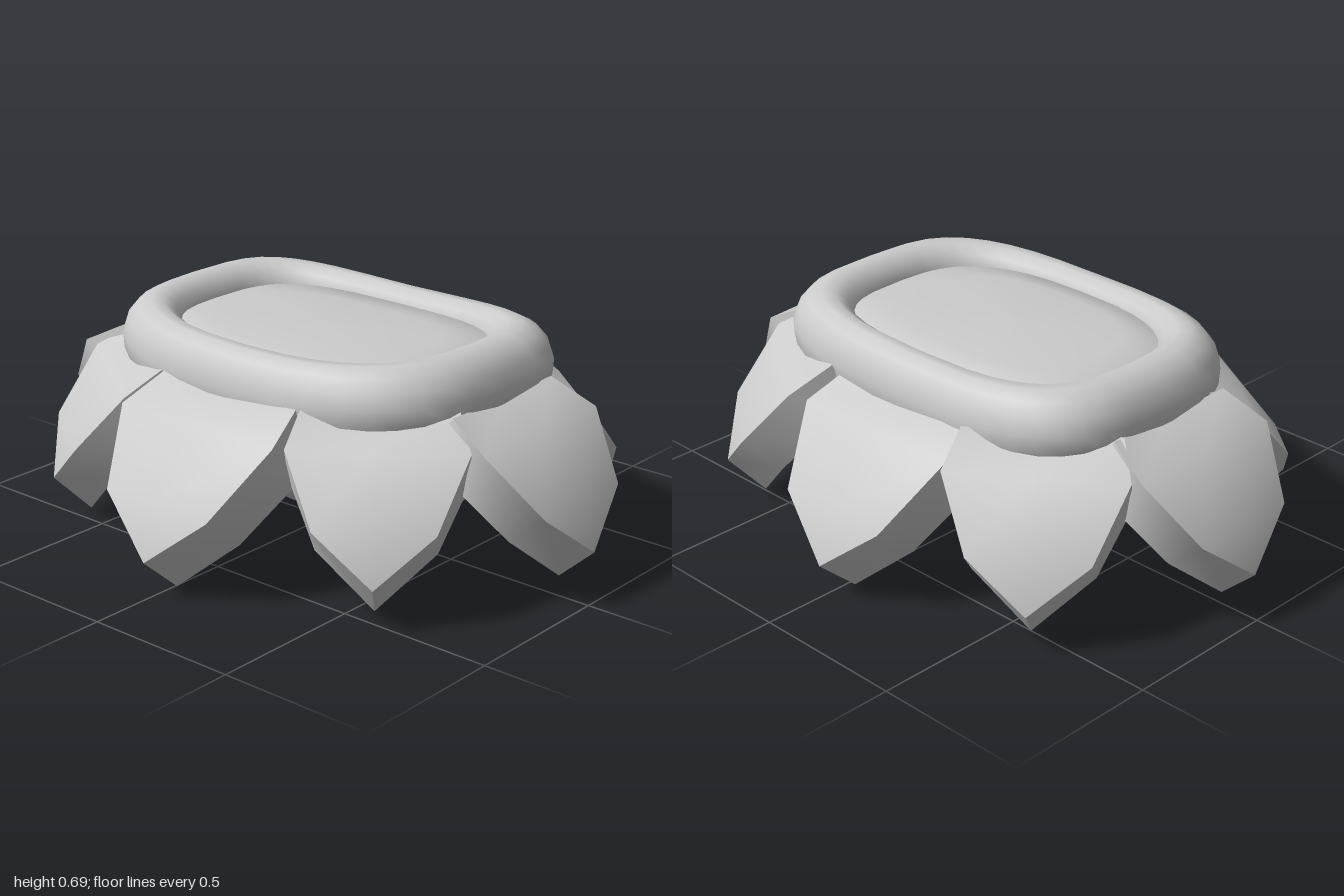
import * as THREE from 'three';
import { toCreasedNormals } from 'three/addons/utils/BufferGeometryUtils.js';

// Skins a list of closed cross-sections (each a list of [x, y, z]).
function skin(rings, loop = false) {
  const n = rings[0].length, m = rings.length, index = [];
  for (let i = 0; i < (loop ? m : m - 1); i++) {
    for (let j = 0; j < n; j++) {
      const k = (i + 1) % m, l = (j + 1) % n;
      const a = i * n + j, b = i * n + l, c = k * n + l, d = k * n + j;
      index.push(a, b, c, a, c, d);
    }
  }
  const geo = new THREE.BufferGeometry();
  geo.setAttribute('position', new THREE.Float32BufferAttribute(rings.flat(2), 3));
  geo.setIndex(index);
  geo.computeVertexNormals();
  return geo;
}

// Point on a rounded rectangle (superellipse), squarer at the back than at the front.
function rounded(t, hx, hz) {
  const c = Math.cos(t), s = Math.sin(t), power = 2 / (s > 0 ? 3.5 : 2.75);
  return [
    hx * Math.sign(c) * Math.abs(c) ** power,
    -hz * Math.sign(s) * Math.abs(s) ** power,
  ];
}

// Rounded pillow: rows of [height, half width, half depth, centre z, rise towards the back]
function pillowGeometry(rows) {
  return skin(rows.map(([y, hx, hz, cz, tilt]) =>
    Array.from({ length: 28 }, (_, j) => {
      const [x, z] = rounded((j / 28) * Math.PI * 2, hx, hz);
      return [x, y - z * tilt, z + cz];
    })));
}

// Padded rim: an oval tube, wider at the ends than at front and back, sagging in the middle
function rimGeometry() {
  const steps = 36, sides = 14, rings = [];
  for (let i = 0; i < steps; i++) {
    const t = (i / steps) * Math.PI * 2, ring = [];
    for (let j = 0; j < sides; j++) {
      const s = (j / sides) * Math.PI * 2;
      const out = Math.cos(s) + 0.15 * Math.sin(s);
      const [x, z] = rounded(t, 0.573 + 0.098 * out, 0.402 + 0.075 * out);
      const rise = 0.025 * Math.min(1, (x / 0.55) ** 2);
      ring.push([x, 0.557 + rise - 0.114 * Math.sin(s), z - 0.015]);
    }
    rings.push(ring);
  }
  return skin(rings, true);
}

// Thick shield-shaped petal facing +z, drooping to a point.
// Rows: outer z, outer y, half width, inner z, inner y, ridge bulge
function petalGeometry() {
  const rows = [
    [-0.2, 0.5, 0, -0.2, 0.5, 0],
    [-0.17, 0.56, 0.26, -0.26, 0.44, -0.015],
    [-0.01, 0.48, 0.3, -0.13, 0.35, 0.01],
    [0.16, 0.28, 0.2, 0.02, 0.17, 0.012],
    [0.215, 0.12, 0, 0.08, 0, 0],
  ];
  const front = rows.map(([z, y, w, , , bulge]) => [
    [w, y, z], [0, y + bulge, z + bulge], [-w, y, z],
  ]);
  const back = rows.map(([, , w, z, y]) => [[-w, y, z], [0, y, z], [w, y, z]]);
  return toCreasedNormals(skin(rows.map((_, i) => [...front[i], ...back[i]])), 0.7);
}

export function createModel() {
  const model = new THREE.Group();
  const material = new THREE.MeshStandardMaterial({ color: 0xcccccc });
  const add = (name, geo) => {
    const mesh = new THREE.Mesh(geo, material);
    mesh.name = name;
    model.add(mesh);
    return mesh;
  };

  add('basket', pillowGeometry([
    [0.08, 0, 0, -0.105, 0.16], [0.08, 0.31, 0.165, -0.105, 0.16],
    [0.135, 0.45, 0.21, -0.07, 0.04], [0.22, 0.51, 0.255, -0.035, 0],
    [0.36, 0.55, 0.33, -0.02, 0], [0.5, 0.57, 0.385, -0.015, 0],
    [0.56, 0.56, 0.385, -0.015, 0],
  ]));
  // Slightly domed filling, nearly level with the rim
  add('cushion', pillowGeometry([
    [0.56, 0.56, 0.385, -0.015, 0], [0.625, 0.5, 0.355, -0.01, 0],
    [0.637, 0.36, 0.25, 0, 0], [0.645, 0.18, 0.13, 0, 0], [0.647, 0, 0, 0, 0],
  ]));
  add('rim', rimGeometry());

  // Ring of petals: x, z, turn in degrees, scale of width, height and depth
  const petal = petalGeometry();
  for (const [name, x, z, turn, w, h, d] of [
    ['frontPetal', 0.005, 0.6, 0, 1, 1, 1],
    ['leftFrontPetal', 0.55, 0.42, 36, 0.88, 0.95, 0.85],
    ['leftPetal', 0.81, -0.02, 90, 0.92, 0.9, 0.88],
    ['leftBackPetal', 0.545, -0.47, 143, 0.88, 0.95, 0.85],
    ['backPetal', -0.02, -0.605, 180, 0.98, 1, 1],
    ['rightBackPetal', -0.56, -0.475, -144, 0.9, 0.95, 0.85],
    ['rightPetal', -0.81, -0.02, -90, 0.92, 0.9, 0.88],
    ['rightFrontPetal', -0.535, 0.42, -35, 0.88, 0.95, 0.85],
  ]) {
    const mesh = add(name, petal);
    mesh.position.set(x, 0.53 * (1 - h), z);
    mesh.rotation.y = THREE.MathUtils.degToRad(turn);
    mesh.scale.set(w, h, d);
  }
  return model;
}
